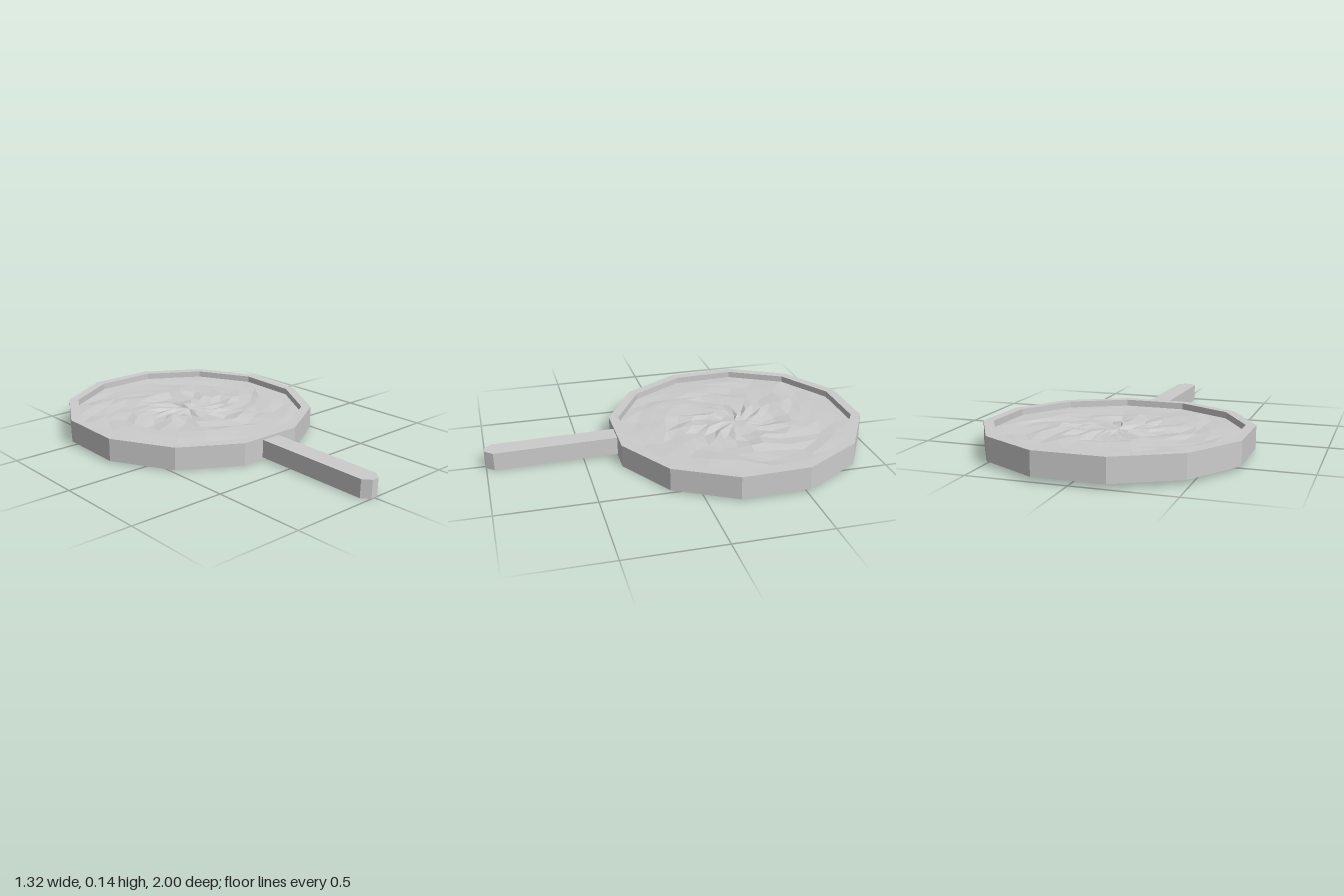
import * as THREE from 'three';

const SIDES = 12;
const OUTER = 0.683, INNER = 0.631, HEIGHT = 0.12;
const START = Math.PI / SIDES;

function makeMaterial(side = THREE.FrontSide) {
  return new THREE.MeshStandardMaterial({ color: 0xcccccc, flatShading: true, side });
}

function addMesh(parent, name, geometry, material = makeMaterial()) {
  const mesh = new THREE.Mesh(geometry, material);
  mesh.name = name;
  parent.add(mesh);
  return mesh;
}

// Small seeded generator, returns -1..1
function seeded(seed) {
  return () => {
    seed = (seed * 16807) % 2147483647;
    return (seed / 2147483647) * 2 - 1;
  };
}

// Rippled surface filling the pan: concentric rings with uneven height
function fillingGeometry() {
  const rand = seeded(4217);
  const rings = 8, segs = 24;
  const positions = [0, 0.088, 0];
  const index = [];
  for (let r = 1; r <= rings; r++) {
    for (let s = 0; s < segs; s++) {
      const edge = r === rings;
      const angle = START + (s / segs) * Math.PI * 2 + (edge ? 0 : rand() * 0.06);
      // odd points of the outer ring sit on the middle of the pan's flat walls
      const wall = s % 2 ? Math.cos(Math.PI / SIDES) : 1;
      const radius = INNER * (r / rings) * (edge ? wall : 0.98 + rand() * 0.025);
      const bump = edge ? 0 : rand() * 0.013 * (1 - 0.5 * r / rings);
      positions.push(Math.sin(angle) * radius, 0.086 + bump, Math.cos(angle) * radius);
    }
  }
  const at = (r, s) => 1 + (r - 1) * segs + (s % segs);
  for (let s = 0; s < segs; s++) {
    index.push(0, at(1, s), at(1, s + 1));
    for (let r = 1; r < rings; r++) {
      const a = at(r, s), b = at(r, s + 1), c = at(r + 1, s), d = at(r + 1, s + 1);
      index.push(a, c, d, a, d, b);
    }
  }
  const geometry = new THREE.BufferGeometry();
  geometry.setAttribute('position', new THREE.Float32BufferAttribute(positions, 3));
  geometry.setIndex(index);
  geometry.computeVertexNormals();
  return geometry;
}

export function createModel() {
  const model = new THREE.Group();
  model.name = 'fryingPan';

  // The whole pan leans slightly, resting on its front edge and handle tip
  const body = new THREE.Group();
  body.name = 'panBody';
  body.rotation.x = 0.018;
  body.position.set(0, 0.006, 0);
  model.add(body);

  // Twelve-sided dish with a flat rim
  const profile = [
    [0, 0], [OUTER, 0], [OUTER, HEIGHT], [INNER, HEIGHT], [INNER, 0.06], [0, 0.06],
  ].map(([x, y]) => new THREE.Vector2(x, y));
  const dish = addMesh(body, 'dish', new THREE.LatheGeometry(profile, SIDES, START));
  dish.position.z = -0.34;

  const filling = addMesh(body, 'filling', fillingGeometry(), makeMaterial(THREE.DoubleSide));
  filling.position.z = -0.34;

  // Straight handle with a chamfered tip, drawn in plan and extruded upwards
  const plan = new THREE.Shape([
    [-0.055, -0.31], [-0.055, -0.96], [-0.02, -1], [0.02, -1], [0.055, -0.96], [0.055, -0.31],
  ].map(([x, y]) => new THREE.Vector2(x, y)));
  const handleGeometry = new THREE.ExtrudeGeometry(plan, { depth: 0.095, bevelEnabled: false });
  handleGeometry.rotateX(-Math.PI / 2);
  const handle = addMesh(body, 'handle', handleGeometry);
  handle.position.y = 0.012;

  return model;
}
